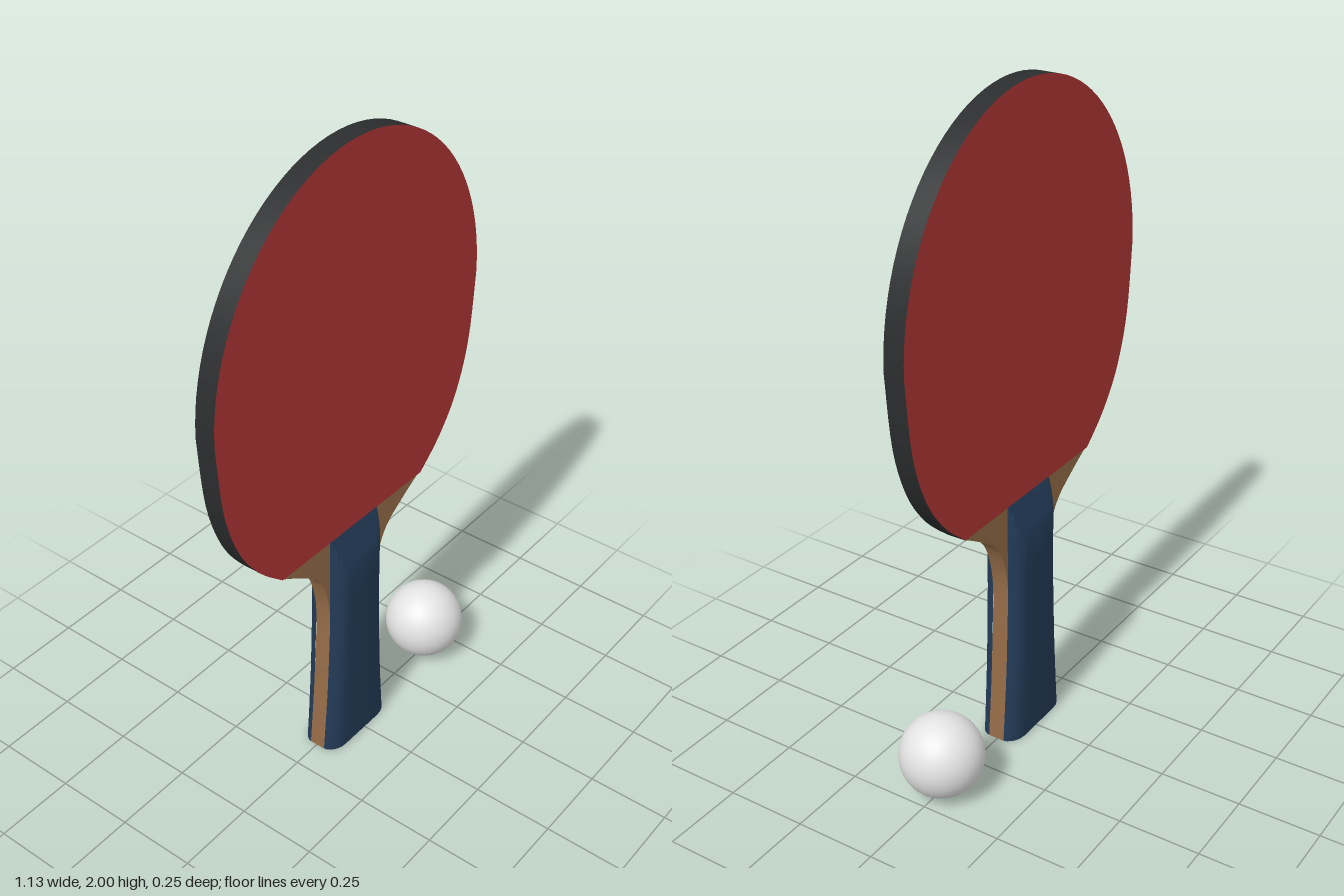
import * as THREE from 'three';
import { toCreasedNormals } from 'three/addons/utils/BufferGeometryUtils.js';

const material = (name, color) => {
  const m = new THREE.MeshStandardMaterial({ color });
  m.name = name;
  return m;
};

// Mirrored plate: a half outline listed from bottom to top, extruded about z = 0
function plate(half, halfDepth) {
  const left = half.filter(p => p.x > 1e-4).reverse().map(p => new THREE.Vector2(-p.x, p.y));
  const geo = new THREE.ExtrudeGeometry(new THREE.Shape([...half, ...left]),
    { depth: halfDepth * 2, bevelEnabled: false });
  geo.translate(0, 0, -halfDepth);
  return toCreasedNormals(geo, 0.5);
}

const spline = (pts, n) =>
  new THREE.SplineCurve(pts.map(p => new THREE.Vector2(...p))).getPoints(n);

const WOOD = 0.026;     // half thickness of the wooden core
const RUBBER = 0.031;   // half thickness of the covered blade
const handleSide = [[0.139, 0], [0.127, 0.14], [0.117, 0.28], [0.107, 0.5]];

// Rounded grip scale, lofted up the handle with a sloping cut at the top
function gripGeometry() {
  const section = [[-1, 0], [-0.98, 0.25], [-0.92, 0.55], [-0.82, 0.8], [-0.72, 0.94], [-0.6, 1],
    [0.6, 1], [0.72, 0.94], [0.82, 0.8], [0.92, 0.55], [0.98, 0.25], [1, 0]];
  const rows = spline(handleSide, 12);
  for (const y of [0.6, 0.7, 0.72, 0.74, 0.76, 0.78, 0.8]) rows.push(new THREE.Vector2(0.107, y));
  const n = section.length, pos = [], index = [];
  rows.forEach(({ x: w, y }, j) => {
    const cut = 0.005 + (0.8 - y) * 0.35;
    for (const [u, v] of section) pos.push(u * w, y, WOOD + Math.min(v * 0.04, cut));
    if (j === 0) return;
    for (let i = 0; i < n - 1; i++) {
      const a = (j - 1) * n + i, d = a + n;
      index.push(a, a + 1, d + 1, a, d + 1, d);
    }
  });
  for (let i = 1; i < n - 1; i++) index.push(0, i + 1, i); // butt end
  const geo = new THREE.BufferGeometry();
  geo.setAttribute('position', new THREE.Float32BufferAttribute(pos, 3));
  geo.setIndex(index);
  return toCreasedNormals(geo, 0.45);
}

export function createModel() {
  const red = material('red rubber', 0xb23636);
  const black = material('black edge', 0x2b2d2e);
  const wood = material('wood', 0x946b47);
  const blue = material('blue grip', 0x223a56);
  const white = material('white ball', 0xe4e4e4);

  const model = new THREE.Group();
  const paddle = new THREE.Group();
  paddle.name = 'paddle';
  const add = (parent, name, geo, mat) => {
    const mesh = new THREE.Mesh(geo, mat);
    mesh.name = name;
    parent.add(mesh);
    return mesh;
  };

  // Blade: red faces with a black edge, elliptical above its widest point
  const bladeHalf = spline([[0.322, 0.8], [0.415, 0.885], [0.493, 1.0], [0.545, 1.16], [0.567, 1.38]], 20);
  for (let i = 1; i <= 24; i++) {
    const a = i / 24 * Math.PI / 2;
    bladeHalf.push(new THREE.Vector2(0.567 * Math.cos(a), 1.38 + 0.62 * Math.sin(a)));
  }
  add(paddle, 'blade', plate(bladeHalf, RUBBER), [red, black]);

  // Wooden core: handle strip flaring out into the throat
  const coreHalf = spline([...handleSide, [0.124, 0.615], [0.165, 0.695], [0.25, 0.757], [0.322, 0.8]], 40);
  add(paddle, 'woodenCore', plate(coreHalf, WOOD), wood);

  // Grip scales on the front and back
  const grip = gripGeometry();
  add(paddle, 'frontGrip', grip, blue);
  add(paddle, 'backGrip', grip, blue).rotation.y = Math.PI;

  // The paddle leans very slightly
  paddle.position.set(-0.017, 0.002, 0.004);
  paddle.rotation.set(-0.0025, 0, -0.0106);
  model.add(paddle);

  // Ball
  add(model, 'ball', new THREE.SphereGeometry(0.125, 40, 28), white).position.set(0.411, 0.131, -0.002);
  return model;
}
